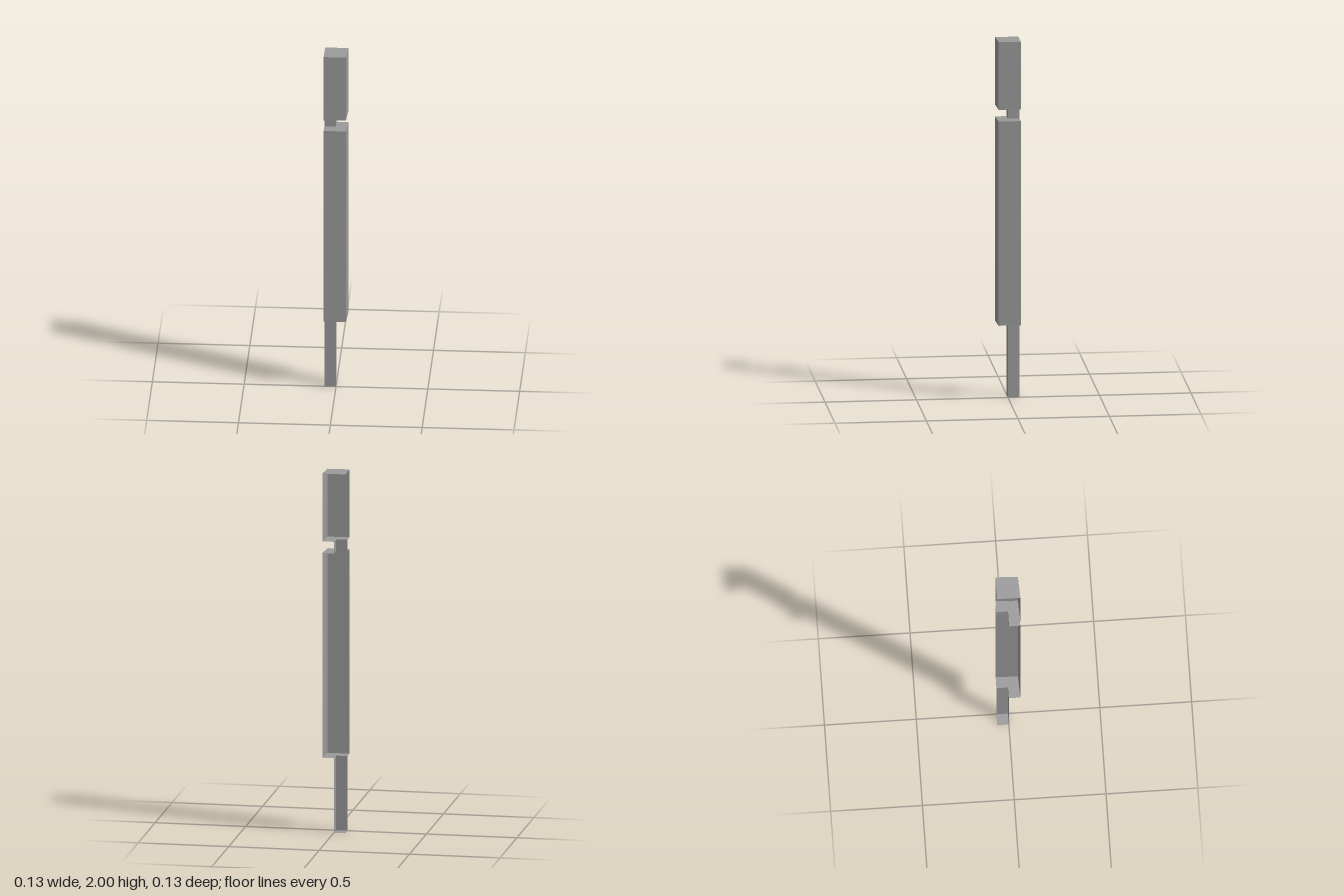
import * as THREE from 'three';

const W = 0.0635; // half width of the column section

// Each section is an open corner: right end, front corner, left end (x, z).
const wide = [[W, -W], [0.058, 0.0575], [-W, 0.063]];
const slim = [[-0.001, -W], [-0.001, 0], [-W, 0]];

const material = new THREE.MeshStandardMaterial({
  color: 0x9a9a9a, flatShading: true, side: THREE.DoubleSide,
});

const at = (section, y) => section.map(([x, z]) => [x, y, z]);

function makeMesh(name, triangles) {
  const geometry = new THREE.BufferGeometry();
  geometry.setAttribute('position', new THREE.Float32BufferAttribute(triangles.flat(2), 3));
  geometry.computeVertexNormals();
  const mesh = new THREE.Mesh(geometry, material);
  mesh.name = name;
  return mesh;
}

// Surface joining two open sections, facing outwards
function band(name, low, high) {
  const triangles = [];
  for (let i = 0; i < low.length - 1; i++) {
    triangles.push([low[i], high[i], high[i + 1]], [low[i], high[i + 1], low[i + 1]]);
  }
  return makeMesh(name, triangles);
}

// Flat end closing a section to its back corner
function cap(name, section, y, up) {
  const [a, b, c] = at(section, y);
  const back = [-W, y, -W];
  return makeMesh(name, up
    ? [[back, b, a], [back, c, b]]
    : [[back, a, b], [back, b, c]]);
}

export function createModel() {
  const group = new THREE.Group();
  group.name = 'cornerColumn';

  // Sections from the foot to the top; the back and left sides stay open
  const rings = [
    at(slim, 0), at(slim, 0.416), at(wide, 0.416), at(wide, 1.557),
    at(slim, 1.557), at(slim, 1.622), at(wide, 1.622), at(wide, 2),
  ];
  const names = ['foot', 'shaftUnderside', 'shaft', 'shaftLedge', 'neck', 'headUnderside', 'head'];
  names.forEach((name, i) => group.add(band(name, rings[i], rings[i + 1])));

  // End faces
  group.add(cap('footBase', slim, 0, false), cap('headTop', wide, 2, true));
  return group;
}
